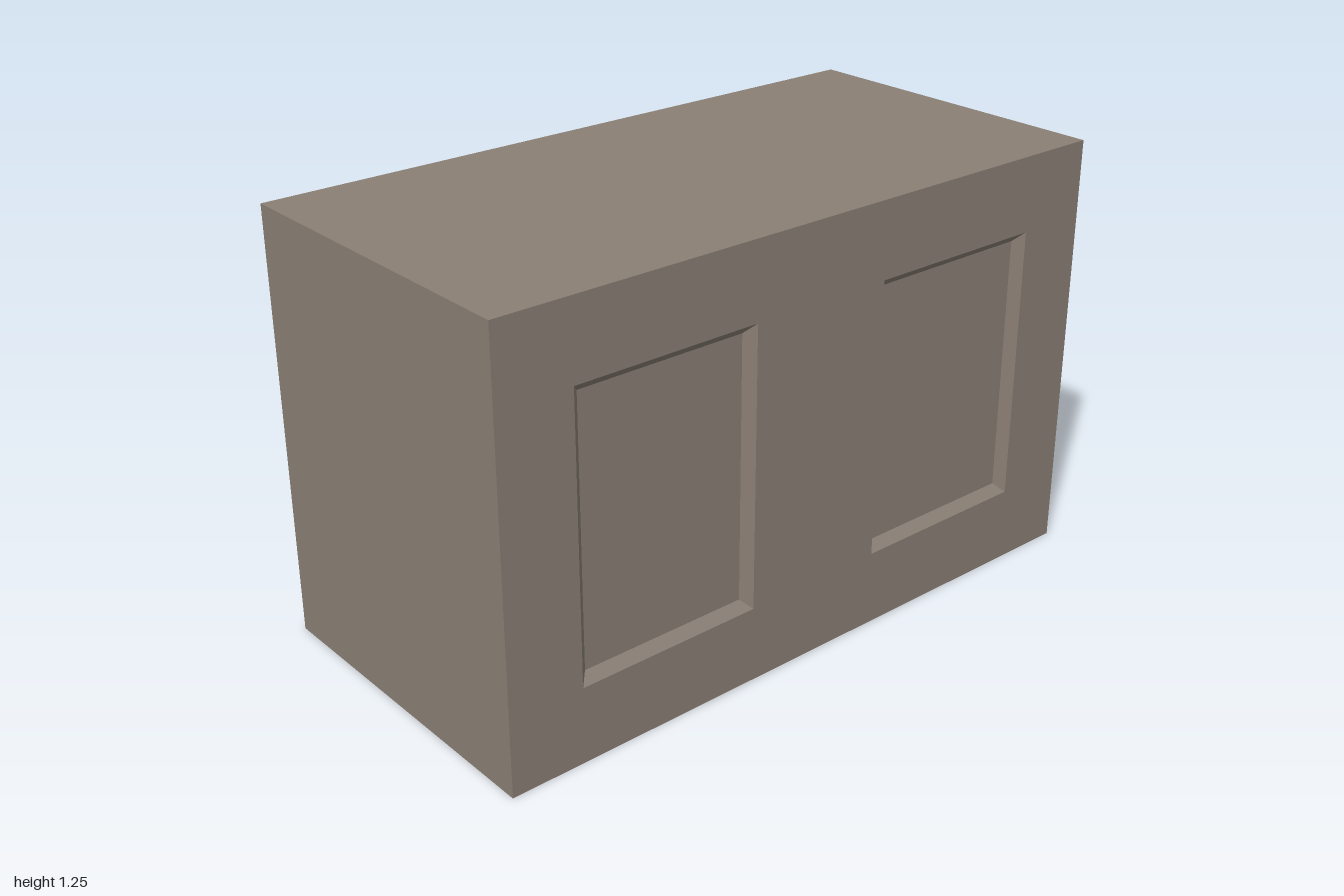
import * as THREE from 'three';

const W = 2, H = 1.25, D = 1;
const BEVEL = 0.027, DEPTH = 0.027;
const PANEL = { x: 0.5, y: H / 2, w: 0.56, h: 0.81 };

// Corners of a rectangle, counter-clockwise seen from +z
function corners(cx, cy, w, h) {
  return [[-1, -1], [1, -1], [1, 1], [-1, 1]].map(
    ([sx, sy]) => new THREE.Vector2(cx + sx * w / 2, cy + sy * h / 2));
}

// Sunken panel: four sloping sides and a flat floor
function recessGeometry(cx) {
  const outer = corners(cx, PANEL.y, PANEL.w, PANEL.h).map(p => [p.x, p.y, D / 2]);
  const inner = corners(cx, PANEL.y, PANEL.w - 2 * BEVEL, PANEL.h - 2 * BEVEL)
    .map(p => [p.x, p.y, D / 2 - DEPTH]);
  const pos = [];
  const quad = (a, b, c, d) => pos.push(...a, ...b, ...c, ...a, ...c, ...d);
  for (let i = 0; i < 4; i++) {
    const j = (i + 1) % 4;
    quad(outer[i], outer[j], inner[j], inner[i]);
  }
  quad(...inner);
  const geo = new THREE.BufferGeometry();
  geo.setAttribute('position', new THREE.Float32BufferAttribute(pos, 3));
  geo.computeVertexNormals();
  return geo;
}

export function createModel() {
  const group = new THREE.Group();
  group.name = 'panelledBlock';
  const material = new THREE.MeshStandardMaterial({ color: 0x8a7f75 });
  const add = (name, geo) => {
    const mesh = new THREE.Mesh(geo, material);
    mesh.name = name;
    group.add(mesh);
    return mesh;
  };

  // Body: a box left open at the front (its fifth face, +z)
  const box = new THREE.BoxGeometry(W, H, D);
  const index = Array.from(box.index.array);
  index.splice(24, 6);
  box.setIndex(index);
  box.clearGroups();
  add('body', box).position.y = H / 2;

  // Front face with an opening for each panel
  const face = new THREE.Shape(corners(0, H / 2, W, H));
  for (const side of [-1, 1]) {
    face.holes.push(new THREE.Path(corners(side * PANEL.x, PANEL.y, PANEL.w, PANEL.h).reverse()));
    add(side > 0 ? 'leftPanelRecess' : 'rightPanelRecess', recessGeometry(side * PANEL.x));
  }
  add('frontFace', new THREE.ShapeGeometry(face)).position.z = D / 2;

  return group;
}
